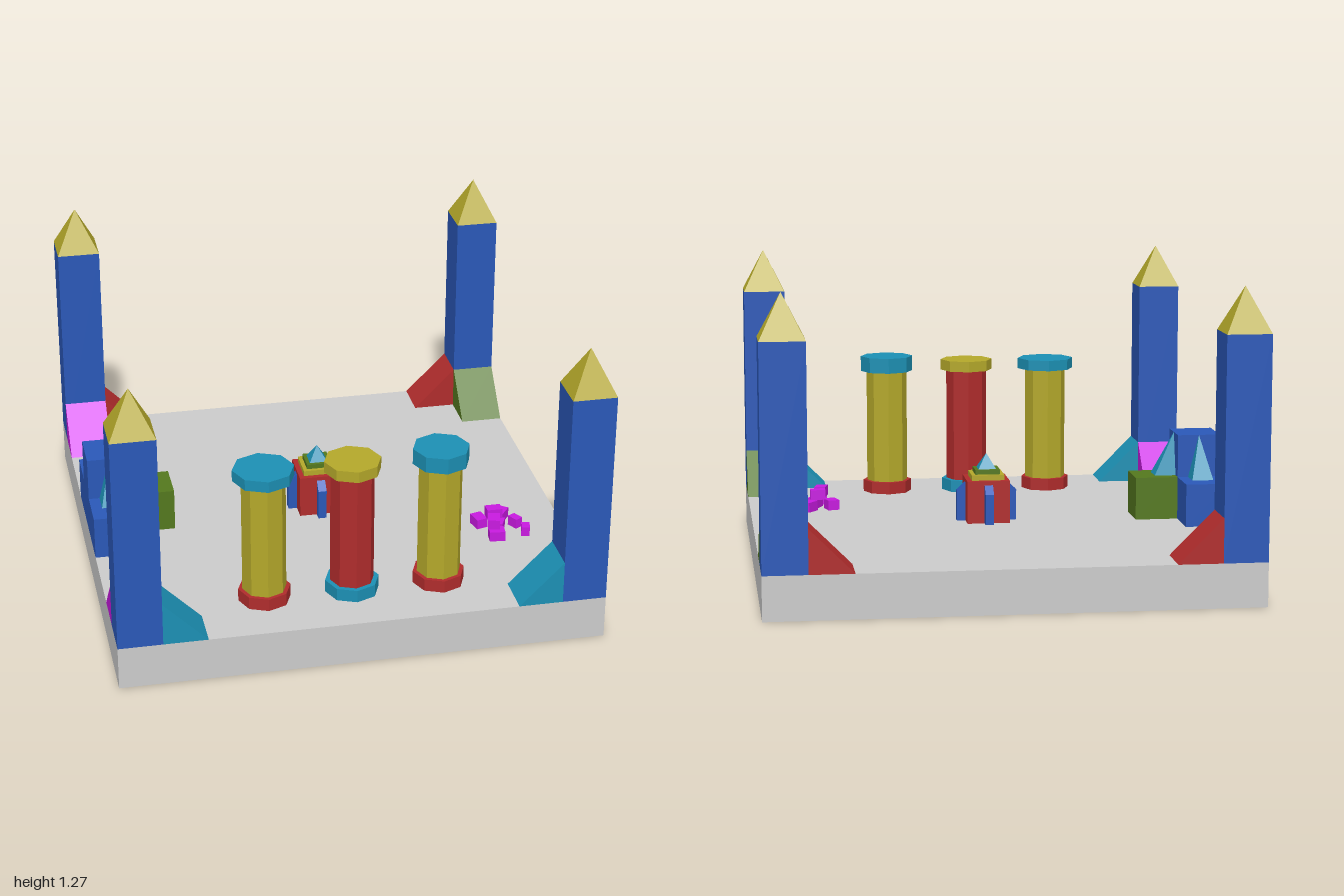
import * as THREE from 'three';

const U = 2 / 11; // grid module: tower width, floor thickness
const COLORS = {
  grey: 0xcccccc, blue: 0x2a58b8, yellow: 0xb4a82a, teal: 0x1c90b4,
  red: 0xb02c2c, green: 0x54781e, magenta: 0xc81ae0,
};
const materials = {};
for (const key in COLORS) {
  materials[key] = new THREE.MeshStandardMaterial({ color: COLORS[key], flatShading: true });
}

function add(parent, name, geometry, color, x = 0, y = 0, z = 0) {
  const mesh = new THREE.Mesh(geometry, materials[color]);
  mesh.name = name;
  mesh.position.set(x, y, z);
  parent.add(mesh);
  return mesh;
}

function group(parent, name, x = 0, y = 0, z = 0) {
  const g = new THREE.Group();
  g.name = name;
  g.position.set(x, y, z);
  parent.add(g);
  return g;
}

// Box standing on its own origin
const block = (w, h, d) => new THREE.BoxGeometry(w, h, d).translate(0, h / 2, 0);

// Four-sided pyramid standing on its own origin
const pyramid = (w, h, d) => new THREE.ConeGeometry(Math.SQRT1_2, h, 4)
  .rotateY(Math.PI / 4).scale(w, 1, d).translate(0, h / 2, 0);

// Side profile in x and y, given thickness along z
function profile(points, depth) {
  const shape = new THREE.Shape(points.map(([x, y]) => new THREE.Vector2(x, y)));
  return new THREE.ExtrudeGeometry(shape, { depth, bevelEnabled: false }).translate(0, 0, -depth / 2);
}

// Corner tower with a ramp on each of its two inner sides
function tower(parent, sx, sz) {
  const c = 1 - U / 2;
  const g = group(parent, 'cornerTower', sx * c, U, sz * c);
  add(g, 'towerShaft', block(U, 5 * U, U), 'blue');
  add(g, 'towerRoof', pyramid(U, U, U), 'yellow', 0, 5 * U, 0);
  const wedge = profile([[U / 2, 0], [1.5 * U, 0], [U / 2, U]], U);
  add(g, 'sideRamp', wedge, sz > 0 ? 'teal' : 'red').rotation.y = sx > 0 ? Math.PI : 0;
  add(g, 'depthRamp', wedge, sx > 0 ? 'green' : 'magenta').rotation.y = sz * Math.PI / 2;
}

// Eight-sided column with base and capital
function column(parent, x, s) {
  const g = group(parent, 'column', x, U, 4 * U);
  const drum = (name, r, y0, y1, color) =>
    add(g, name, new THREE.CylinderGeometry(r, r, y1 - y0, 8), color, 0, (y0 + y1) / 2, 0);
  drum('columnBase', s.baseR, 0, 0.053, s.trim);
  drum('columnShaft', 0.091, 0.053, 0.553, s.shaft);
  drum('columnCapital', s.capR, 0.553, s.top, s.cap);
}

// Stepped seat against the left wall, with a block in front and three spires
function throne(parent) {
  const g = group(parent, 'throne', -1 + U / 2, U, 0);
  add(g, 'throneBench', block(U, U, 3 * U), 'blue');
  add(g, 'throneBack', block(U, U, U), 'blue', 0, U, 0);
  add(g, 'throneStep', block(U, U, U), 'green', U, 0, 0);
  add(g, 'frontSpire', pyramid(U, U, U / 2), 'teal', U / 2, U, 0);
  for (const s of [-1, 1]) {
    add(g, 'sideSpire', pyramid(U / 2, U, U), 'teal', 0, U, s * U / 2);
  }
}

// Small central shrine with a stepped roof and four buttresses
function shrine(parent) {
  const g = group(parent, 'shrine', 0, U, 0);
  add(g, 'shrineBody', block(U, U, U), 'red');
  add(g, 'lowerRoofStep', block(0.14, 0.023, 0.14), 'yellow', 0, U, 0);
  add(g, 'upperRoofStep', block(0.106, 0.02, 0.106), 'green', 0, U + 0.023, 0);
  add(g, 'shrineSpire', pyramid(0.076, 0.065, 0.076), 'teal', 0, U + 0.043, 0);
  const buttress = profile([[U / 2, 0], [0.128, 0], [0.128, 0.13], [U / 2, 0.165]], 0.036);
  for (let i = 0; i < 4; i++) {
    add(g, 'buttress', buttress, 'blue').rotation.y = i * Math.PI / 2;
  }
}

// Heap of loose stones: x, z, width, depth, turn, layer
function rubble(parent) {
  const g = group(parent, 'rubble', 0, U, 0);
  const stones = [
    [0.645, 0.317, 0.05, 0.066, 0.25, 0], [0.748, 0.28, 0.052, 0.066, -0.65, 0],
    [0.796, 0.352, 0.036, 0.05, 0.5, 0], [0.715, 0.37, 0.05, 0.06, -0.45, 0],
    [0.82, 0.43, 0.036, 0.046, -0.25, 0], [0.69, 0.445, 0.066, 0.052, -0.1, 0],
    [0.705, 0.33, 0.066, 0.046, 0, 1], [0.685, 0.412, 0.05, 0.066, -0.25, 1],
  ];
  for (const [x, z, w, d, turn, layer] of stones) {
    add(g, 'stone', block(w, 0.043, d), 'magenta', x, layer * 0.043, z).rotation.y = turn;
  }
}

export function createModel() {
  const model = new THREE.Group();
  model.name = 'courtyard';
  add(model, 'floor', block(2, U, 2), 'grey');
  for (const sx of [-1, 1]) for (const sz of [-1, 1]) tower(model, sx, sz);
  column(model, -2 * U, { trim: 'red', shaft: 'yellow', cap: 'teal', baseR: 0.108, capR: 0.126, top: 0.6 });
  column(model, 0, { trim: 'teal', shaft: 'red', cap: 'yellow', baseR: 0.112, capR: 0.117, top: 0.6 });
  column(model, 2 * U, { trim: 'red', shaft: 'yellow', cap: 'teal', baseR: 0.108, capR: 0.117, top: 0.62 });
  throne(model);
  shrine(model);
  rubble(model);
  return model;
}
